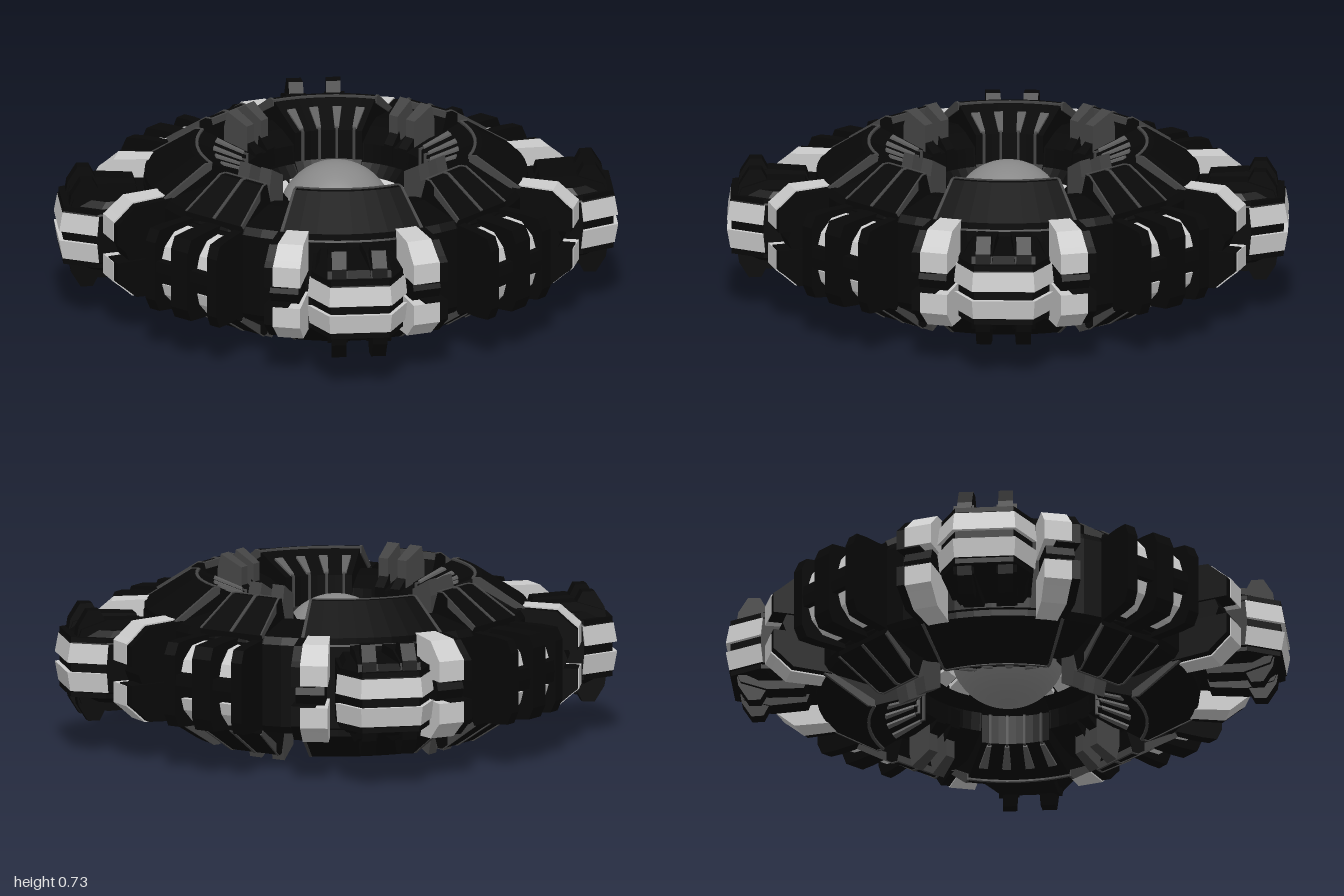
import * as THREE from 'three';

const mat = (color) => new THREE.MeshStandardMaterial({ color, flatShading: true });
const DARK = mat(0x080808), TRIM = mat(0x444444), MID = mat(0x606060), LIGHT = mat(0xcccccc);
const D = Math.PI / 180;

const mesh = (name, geometry, material) => {
  const m = new THREE.Mesh(geometry, material);
  m.name = name;
  return m;
};
const extrude = (points, depth, steps = 1) => new THREE.ExtrudeGeometry(
  new THREE.Shape(points.map(([x, y]) => new THREE.Vector2(x, y))), { depth, steps, bevelEnabled: false });

// Move every vertex by a rule, then refresh the normals
function warp(geometry, rule) {
  const p = geometry.attributes.position, v = new THREE.Vector3();
  for (let i = 0; i < p.count; i++) {
    rule(v.fromBufferAttribute(p, i));
    p.setXYZ(i, v.x, v.y, v.z);
  }
  geometry.computeVertexNormals();
  return geometry;
}

// [radius, y] profile swept between two angles (degrees, 0 = +z)
function sector(profile, from, to, steps) {
  return warp(extrude(profile, (to - from) * D, steps), (v) => {
    const a = v.z + from * D;
    v.set(-v.x * Math.sin(a), v.y, v.x * Math.cos(a));
  });
}

// [radius, y] profile given a width across x; width may change from inner to outer radius
function rib(profile, x, inner, outer = inner) {
  const rs = profile.map((p) => p[0]), r0 = Math.min(...rs), r1 = Math.max(...rs);
  return warp(extrude(profile, 1), (v) => {
    const w = inner + (outer - inner) * (v.x - r0) / (r1 - r0);
    v.set(x * (v.x / r1) - (v.z - 0.5) * w, v.y, v.x);
  });
}

// [x, z] outline raised from y0 to y1, its top drawn in towards the ring
function plate(outline, y0, y1, inset = 0) {
  const g = extrude(outline.map(([x, z]) => [x, -z]), y1 - y0);
  g.rotateX(-Math.PI / 2);
  return warp(g, (v) => {
    const k = v.y > (y1 - y0) / 2 ? 1 - inset : 1;
    v.set(v.x * k, v.y + y0, 0.8 + (v.z - 0.8) * k);
  });
}

const podFront = (d) => [[-0.187 - d, 1], [-0.12 - d * 0.5, 1.132 + d], [0.12 + d * 0.5, 1.132 + d], [0.187 + d, 1]];
const podOutline = (d) => [[-0.16, 0.76], ...podFront(d), [0.16, 0.76]];

// Pod and raised cover on each diagonal
function diagonalModule() {
  const g = new THREE.Group();
  g.name = 'diagonalModule';
  const cover = [[0.33, 0.06], [0.376, 0.12], [0.376, 0.245], [0.56, 0.318], [0.58, 0.325], [0.6, 0.325],
    [0.785, 0.205], [0.785, 0.15], [0.5, 0.06]];
  g.add(mesh('cover', sector(cover, -21.5, 21.5, 8), DARK));
  const rimTrim = [[0.565, 0.31], [0.565, 0.328], [0.577, 0.328], [0.577, 0.31]];
  g.add(mesh('coverRimTrim', sector(rimTrim, -21.5, 21.5, 8), TRIM));
  const edge = [[0.57, 0.3], [0.57, 0.328], [0.6, 0.328], [0.788, 0.207], [0.77, 0.19]];
  for (const s of [-1, 1]) {
    g.add(mesh('coverEdgeTrim', sector(edge, s * 21.5 - 0.5, s * 21.5 + 0.5, 1), TRIM));
  }
  // Wedge strips on the inner rim, each running down the wall as a thin line
  for (const a of [-16.5, -5.5, 5.5, 16.5]) {
    const strip = new THREE.Group();
    strip.name = 'wallStrip';
    strip.rotation.y = a * D;
    strip.add(mesh('stripWedge', rib([[0.385, 0.23], [0.385, 0.258], [0.5, 0.304], [0.51, 0.28]], 0, 0.018, 0.038), MID));
    strip.add(mesh('stripLine', rib([[0.366, 0.12], [0.366, 0.25], [0.39, 0.255], [0.39, 0.12]], 0, 0.01), TRIM));
    g.add(strip);
  }
  // Outer pod with its light band
  g.add(mesh('podBody', plate(podOutline(0), 0, 0.125), DARK));
  g.add(mesh('podBand', plate(podFront(0.018), 0.02, 0.1, 0.04), LIGHT));
  g.add(mesh('podRoof', plate(podOutline(0.005), 0.1, 0.15, 0.2), DARK));
  for (const s of [-1, 1]) {
    g.add(mesh('podClawBase', rib([[0.8, 0.1], [0.83, 0.185], [0.98, 0.19], [1.09, 0.155], [1.11, 0.1]], s * 0.09, 0.085), DARK));
    g.add(mesh('podClaw', rib([[0.94, 0.1], [1.01, 0.23], [1.06, 0.23], [1.1, 0.165], [1.11, 0.1]], s * 0.085, 0.06), DARK));
  }
  return g;
}

// Narrow pod, raised panel and clamps around each main axis
function axisModule() {
  const g = new THREE.Group();
  g.name = 'axisModule';
  const panel = [[0.5, 0.1], [0.575, 0.325], [0.6, 0.325], [0.78, 0.205], [0.78, 0.1]];
  g.add(mesh('axisPanel', rib(panel, 0, 0.2, 0.3), DARK));
  const seam = [[0.575, 0.3], [0.575, 0.329], [0.602, 0.329], [0.782, 0.209], [0.77, 0.19]];
  g.add(mesh('panelSeam', rib(seam, 0, 0.014), TRIM));
  for (const s of [-1, 1]) g.add(mesh('panelEdgeTrim', rib(seam, s * 0.148, 0.008), TRIM));
  g.add(mesh('panelRimTrim', rib([[0.566, 0.3], [0.568, 0.328], [0.578, 0.328], [0.578, 0.3]], 0, 0.22), TRIM));
  for (const s of [-1, 1]) {
    g.add(mesh('innerBlock', rib([[0.42, 0.15], [0.42, 0.315], [0.51, 0.365], [0.525, 0.3], [0.525, 0.15]],
      s * 0.057, 0.045, 0.06), TRIM));
    g.add(mesh('innerBlockStep', rib([[0.375, 0.12], [0.38, 0.2], [0.43, 0.25], [0.45, 0.12]], s * 0.045, 0.045), DARK));
  }

  // Ribbed pod with a low sill joining the ribs
  g.add(mesh('podCore', rib([[0.75, 0], [0.75, 0.17], [0.86, 0.15], [0.92, 0.11], [0.93, 0]], 0, 0.27, 0.34), DARK));
  g.add(mesh('podSill', rib([[0.75, 0], [0.75, 0.045], [0.98, 0.045], [0.985, 0]], 0, 0.28, 0.36), DARK));
  const ribProfile = [[0.75, 0], [0.75, 0.185], [0.9, 0.182], [0.965, 0.175], [0.988, 0.125], [0.988, 0]];
  for (const s of [-1, 1]) {
    g.add(mesh('podOuterRib', rib(ribProfile, s * 0.164, 0.04, 0.052), DARK));
    g.add(mesh('podLight', rib([[0.83, 0.05], [0.83, 0.168], [0.9, 0.158], [0.95, 0.105], [0.965, 0.055]],
      s * 0.094, 0.034, 0.056), LIGHT));
  }
  g.add(mesh('podCentreRib', rib(ribProfile.map(([r, y]) => [r + (r > 0.95 ? 0.012 : 0), y]), 0, 0.07, 0.09), DARK));

  // Light clamps gripping the ring on both sides of the pod
  const clamp = [[0.755, 0.045], [0.755, 0.213], [0.92, 0.203], [0.98, 0.15], [1.005, 0.13], [1.005, 0.045]];
  for (const s of [-1, 1]) {
    const pair = new THREE.Group();
    pair.name = 'clamp';
    pair.rotation.y = s * 28.3 * D;
    pair.add(mesh('clampLight', rib(clamp, 0, 0.09, 0.115), LIGHT));
    pair.add(mesh('clampBacking', rib(clamp.map(([r, y]) => [r - 0.003, y - 0.006]), -s * 0.045, 0.09, 0.1), DARK));
    pair.add(mesh('clampFoot', rib([[0.75, 0], [0.75, 0.17], [0.9, 0.15], [0.96, 0]], -s * 0.02, 0.1, 0.12), DARK));
    g.add(pair);
  }
  return g;
}

function upperHalf() {
  const g = new THREE.Group();
  const ring = [[0.33, 0], [0.33, 0.06], [0.38, 0.11], [0.385, 0.19], [0.5, 0.225], [0.58, 0.235],
    [0.77, 0.2], [0.79, 0.17], [0.79, 0]];
  g.add(mesh('ringBody', sector(ring, 0, 360, 64), DARK));
  const collar = [[0.27, 0], [0.27, 0.035], [0.325, 0.06], [0.34, 0.06], [0.34, 0]];
  g.add(mesh('innerCollar', sector(collar, 0, 360, 48), DARK));
  // Tiles around the core opening
  for (let i = 0; i < 16; i++) {
    const a = i * 22.5;
    g.add(mesh('collarTile', sector([[0.265, 0.01], [0.265, 0.045], [0.315, 0.075], [0.32, 0.03]], a - 9.5, a + 9.5, 2), LIGHT));
  }
  for (let i = 0; i < 4; i++) {
    const axis = axisModule(), diagonal = diagonalModule();
    axis.rotation.y = i * 90 * D;
    diagonal.rotation.y = (i * 90 + 45) * D;
    g.add(axis, diagonal);
  }
  return g;
}

export function createModel() {
  const root = new THREE.Group();
  root.name = 'ringStation';
  const upper = upperHalf(), lower = upper.clone();
  upper.name = 'upperHalf';
  lower.name = 'lowerHalf';
  lower.rotation.z = Math.PI;
  const core = mesh('coreSphere', new THREE.SphereGeometry(0.238, 40, 24), new THREE.MeshStandardMaterial({ color: 0x888888 }));
  const body = new THREE.Group();
  body.name = 'body';
  body.position.y = 0.365;
  body.add(upper, lower, core);
  root.add(body);
  return root;
}
